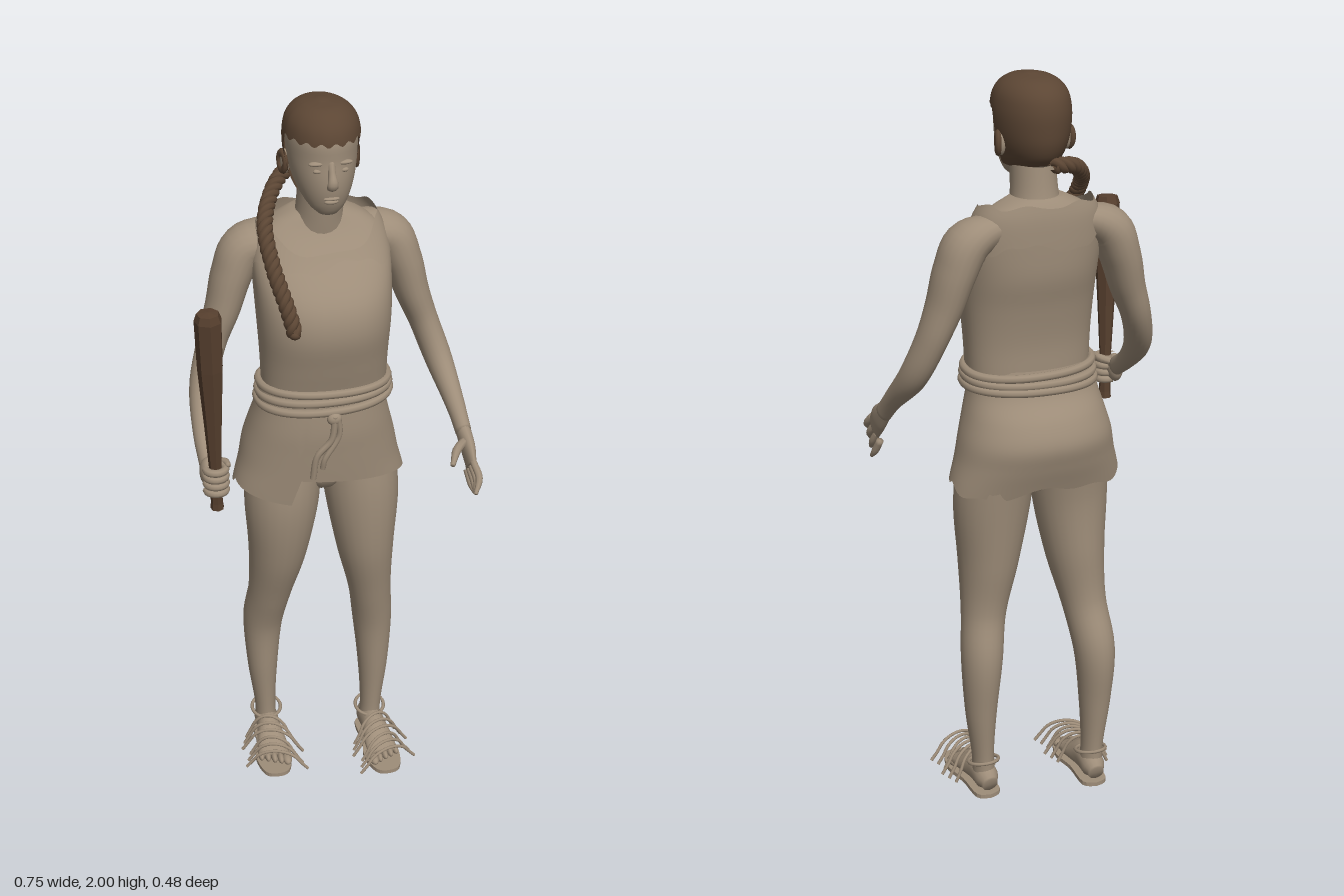
import * as THREE from 'three';

const V = (x, y, z) => new THREE.Vector3(x, y, z);
const mat = (name, color, side = THREE.FrontSide) => {
  const m = new THREE.MeshStandardMaterial({ color, side });
  m.name = name;
  return m;
};

// Join closed rings of points into one smooth surface
function skinRings(rings, cap = true) {
  const n = rings[0].length, pos = [], idx = [];
  rings.forEach(r => r.forEach(p => pos.push(p.x, p.y, p.z)));
  for (let i = 0; i < rings.length - 1; i++) for (let j = 0; j < n; j++) {
    const a = i * n + j, b = i * n + (j + 1) % n;
    idx.push(a, b, b + n, a, b + n, a + n);
  }
  if (cap) [0, rings.length - 1].forEach((i, end) => {
    const c = rings[i].reduce((s, p) => s.add(p), V(0, 0, 0)).divideScalar(n), k = pos.length / 3;
    pos.push(c.x, c.y, c.z);
    for (let j = 0; j < n; j++) {
      const a = i * n + j, b = i * n + (j + 1) % n;
      end ? idx.push(a, b, k) : idx.push(b, a, k);
    }
  });
  const g = new THREE.BufferGeometry();
  g.setAttribute('position', new THREE.Float32BufferAttribute(pos, 3));
  g.setIndex(idx);
  g.computeVertexNormals();
  return g;
}

// Smooth section at height y from rows of [y, z, halfWidth, front, back]
function section(rows, y) {
  let i = 0;
  const last = rows.length - 1;
  while (i < last - 1 && y > rows[i + 1][0]) i++;
  const a = rows[i], b = rows[i + 1], h = b[0] - a[0];
  const t = THREE.MathUtils.clamp((y - a[0]) / h, 0, 1);
  const slope = (k, c) => {
    const p = rows[Math.max(k - 1, 0)], q = rows[Math.min(k + 1, last)];
    return (q[c] - p[c]) / (q[0] - p[0]) * h;
  };
  return [1, 2, 3, 4].map(c => {
    const m0 = slope(i, c), m1 = slope(i + 1, c), d = b[c] - a[c];
    return a[c] + t * (m0 + t * (3 * d - 2 * m0 - m1 + t * (m0 + m1 - 2 * d)));
  });
}
function sectionPoint(rows, y, a, e = 1, grow = 0) {
  const [z, w, f, b] = section(rows, y), s = Math.sin(a), c = Math.cos(a);
  return V(Math.sign(s) * Math.abs(s) ** e * (w + grow), y,
    z + Math.sign(c) * Math.abs(c) ** e * ((c > 0 ? f : b) + grow));
}
// Upright loft whose lower and upper edges may vary with the angle
function loft(rows, { e = 1, n = 48, steps = 28, grow = 0, cap = true, bottom, top, dome = false } = {}) {
  const rings = [];
  for (let i = 0; i <= steps; i++) {
    const t = dome ? Math.sin(i / steps * Math.PI / 2) : i / steps, ring = [];
    for (let j = 0; j < n; j++) {
      let a = j / n * Math.PI * 2;
      if (a > Math.PI) a -= Math.PI * 2;
      const y0 = bottom ? bottom(a) : rows[0][0], y1 = top ? top(a) : rows[rows.length - 1][0];
      ring.push(sectionPoint(rows, y0 + (y1 - y0) * t, a, e, grow));
    }
    rings.push(ring);
  }
  return skinRings(rings, cap);
}
// Tapered limb through rows of [x, y, z, sideRadius, depthRadius]
function limb(rows, n = 16, steps = 24) {
  const path = new THREE.CatmullRomCurve3(rows.map(r => V(r[0], r[1], r[2])));
  const radii = new THREE.SplineCurve(rows.map(r => new THREE.Vector2(r[3], r[4])));
  const rings = [];
  for (let i = 0; i <= steps; i++) {
    const u = i / steps, p = path.getPoint(u), t = path.getTangent(u), r = radii.getPoint(u);
    const side = V(1, 0, 0).addScaledVector(t, -t.x).normalize(), depth = side.clone().cross(t);
    rings.push(Array.from({ length: n }, (_, j) => {
      const a = j / n * Math.PI * 2;
      return p.clone().addScaledVector(side, Math.sin(a) * r.x).addScaledVector(depth, Math.cos(a) * r.y);
    }));
  }
  return skinRings(rings);
}
const finger = (pts, r) => limb(pts.map((p, i) => {
  const w = i === pts.length - 1 ? r * 0.55 : r;
  return [...p, w, w];
}), 8, 8);
const rope = (pts, r, closed = false, seg = 60) =>
  new THREE.TubeGeometry(new THREE.CatmullRomCurve3(pts, closed), seg, r, 8, closed);
const ball = (x, y, z, a, b, c) => new THREE.SphereGeometry(1, 18, 12).scale(a, b, c).translate(x, y, z);

export function createModel() {
  const model = new THREE.Group();
  const skin = mat('skin', 0x9e8d79), cloth = mat('cloth', 0x9e8d79, THREE.DoubleSide);
  const hair = mat('hair', 0x5c4634), hairCap = mat('hair cap', 0x5c4634, THREE.DoubleSide);
  const wood = mat('wood', 0x563f2e);
  wood.flatShading = true;
  const add = (name, geo, m, parent = model) => {
    const mesh = new THREE.Mesh(geo, m);
    mesh.name = name;
    parent.add(mesh);
    return mesh;
  };

  // Head, neck and face
  const headRows = [
    [1.728, 0, 0.024, 0.022, 0.03], [1.745, -0.01, 0.044, 0.043, 0.07], [1.78, -0.04, 0.066, 0.085, 0.115],
    [1.82, -0.06, 0.08, 0.109, 0.122], [1.87, -0.07, 0.088, 0.115, 0.12], [1.92, -0.07, 0.088, 0.114, 0.118],
    [1.96, -0.07, 0.075, 0.094, 0.1], [1.985, -0.07, 0.043, 0.056, 0.06], [1.993, -0.07, 0.003, 0.003, 0.003]];
  add('head', loft(headRows, { dome: true }), skin);
  add('neck', limb([[0, 1.6, -0.115, 0.085, 0.07], [0, 1.7, -0.095, 0.061, 0.066], [0, 1.82, -0.08, 0.058, 0.064]], 24), skin);
  add('nose', limb([[0, 1.872, 0.036, 0.01, 0.01], [0, 1.845, 0.047, 0.01, 0.012],
    [0, 1.82, 0.059, 0.014, 0.012], [0, 1.809, 0.046, 0.013, 0.01]], 12, 14), skin);
  add('upperLip', ball(0, 1.779, 0.043, 0.021, 0.005, 0.008), skin);
  add('lowerLip', ball(0, 1.77, 0.041, 0.018, 0.006, 0.009), skin);
  for (const s of [-1, 1]) {
    add('eye', ball(s * 0.033, 1.85, 0.034, 0.012, 0.006, 0.008), skin);
    add('brow', ball(s * 0.034, 1.869, 0.032, 0.022, 0.006, 0.011), skin);
    add('ear', ball(s * 0.088, 1.835, -0.09, 0.012, 0.032, 0.02), skin);
    add('earLock', new THREE.TorusGeometry(0.016, 0.008, 8, 18).rotateY(Math.PI / 2 - s * 0.3)
      .scale(1, 1.4, 1).translate(s * 0.095, 1.835, -0.09), hair);
  }

  // Cropped hair with a ragged fringe, and a braid over the shoulder
  const hairline = a => {
    const k = THREE.MathUtils.smoothstep(Math.abs(a), 1.42, 1.75);
    return 1.913 + 0.005 * Math.sin(a * 17) * (1 - k) - 0.148 * k;
  };
  add('hair', loft(headRows, { n: 96, grow: 0.008, bottom: hairline, top: () => 1.993, dome: true, cap: false })
    .translate(0, 0.006, 0), hairCap);
  add('crown', ball(0, 1.985, -0.07, 0.035, 0.015, 0.045), hair);
  const braidPath = new THREE.CatmullRomCurve3([[-0.015, 1.785, -0.17], [-0.07, 1.78, -0.165], [-0.115, 1.75, -0.12],
    [-0.154, 1.69, -0.03], [-0.146, 1.6, 0.04], [-0.125, 1.52, 0.09], [-0.11, 1.455, 0.112]].map(p => V(...p)));
  const braid = new THREE.Group();
  braid.name = 'braid';
  model.add(braid);
  const N = 110, frames = braidPath.computeFrenetFrames(N);
  for (let k = 0; k < 3; k++) {
    const pts = Array.from({ length: N + 1 }, (_, i) => {
      const a = i / N * Math.PI * 2 * 8 + k * Math.PI * 2 / 3;
      return braidPath.getPointAt(i / N).addScaledVector(frames.normals[i], 0.01 * Math.cos(a))
        .addScaledVector(frames.binormals[i], 0.01 * Math.sin(a));
    });
    add('braidStrand', rope(pts, 0.0115, false, 160), hair, braid);
  }
  add('braidTip', ball(-0.11, 1.453, 0.112, 0.016, 0.014, 0.016), hair, braid);

  // Tunic body, ragged cowl and skirt
  const torsoRows = [
    [1.15, -0.055, 0.16, 0.105, 0.1], [1.23, -0.05, 0.165, 0.112, 0.108], [1.32, -0.05, 0.168, 0.135, 0.11],
    [1.42, -0.05, 0.174, 0.156, 0.125], [1.5, -0.06, 0.178, 0.15, 0.133], [1.58, -0.08, 0.18, 0.108, 0.118],
    [1.63, -0.1, 0.168, 0.082, 0.098], [1.67, -0.11, 0.13, 0.062, 0.082], [1.7, -0.11, 0.07, 0.05, 0.06]];
  add('tunic', loft(torsoRows, { e: 0.85 }), cloth);
  const cowlRows = [[1.54, -0.075, 0.184, 0.139, 0.13], [1.6, -0.09, 0.18, 0.106, 0.116],
    [1.66, -0.105, 0.164, 0.083, 0.099], [1.71, -0.11, 0.135, 0.07, 0.085]];
  add('cowl', loft(cowlRows, {
    e: 0.85, n: 72, steps: 10, cap: false,
    bottom: a => 1.585 + 0.012 * Math.sin(a * 5) + 0.005 * Math.sin(a * 13),
    top: a => 1.69 - 0.08 * Math.max(0, Math.cos(a)) ** 2 + 0.006 * Math.sin(a * 7 + 1),
  }), cloth);
  const skirtRows = [
    [0.88, -0.08, 0.246, 0.126, 0.11], [0.94, -0.08, 0.234, 0.133, 0.13], [1.0, -0.08, 0.218, 0.14, 0.15],
    [1.06, -0.08, 0.206, 0.146, 0.162], [1.12, -0.07, 0.19, 0.141, 0.152], [1.18, -0.06, 0.175, 0.13, 0.122],
    [1.25, -0.055, 0.166, 0.12, 0.108]];
  const hem = a => {
    if (Math.abs(a) > 1.57) return 0.94 - 0.025 * Math.sin((Math.abs(a) - 1.57) * 2) + 0.006 * Math.sin(a * 9);
    return a < -0.33 ? THREE.MathUtils.mapLinear(a, -1.57, -0.33, 0.95, 0.903)
      : THREE.MathUtils.mapLinear(a, -0.33, 1.57, 0.985, 0.935);
  };
  add('skirt', loft(skirtRows, { n: 80, bottom: hem, cap: false, e: 0.92 }).translate(-0.008, 0, 0), cloth);
  add('undercloth', ball(0, 0.965, -0.085, 0.085, 0.075, 0.09), cloth);

  // Rope belt with hanging tails
  for (let k = 0; k < 3; k++) {
    const pts = Array.from({ length: 32 }, (_, j) => {
      const a = j / 32 * Math.PI * 2, y = 1.197 + k * 0.022;
      return sectionPoint(skirtRows, y, a, 0.9, 0.004).setY(y + 0.006 * Math.sin(a + k));
    });
    add('beltRope', rope(pts, 0.0115, true, 90), cloth);
  }
  add('beltKnot', ball(0, 1.18, 0.08, 0.02, 0.018, 0.014), cloth);
  add('beltTail', rope([V(0, 1.19, 0.085), V(-0.008, 1.12, 0.082), V(-0.045, 1.07, 0.076), V(-0.055, 1.0, 0.068)], 0.009), cloth);
  add('beltTail', rope([V(0.01, 1.18, 0.085), V(0.012, 1.13, 0.082), V(-0.025, 1.06, 0.078), V(-0.03, 1.03, 0.072)], 0.008), cloth);

  for (const s of [-1, 1]) {
    const side = s > 0 ? 'left' : 'right';
    // Legs, with the right one set further back
    const back = y => (s > 0 ? 0 : 0.058 * THREE.MathUtils.clamp((0.85 - y) / 0.42, 0, 1));
    add(side + 'Leg', limb([
      [0.1, 1.02, -0.09, 0.1, 0.11], [0.112, 0.87, -0.075, 0.102, 0.107], [0.122, 0.7, -0.07, 0.081, 0.093],
      [0.139, 0.55, -0.078, 0.061, 0.068], [0.154, 0.42, -0.102, 0.056, 0.065], [0.158, 0.26, -0.102, 0.043, 0.051],
      [0.153, 0.12, -0.1, 0.03, 0.038], [0.15, 0.04, -0.1, 0.031, 0.038],
    ].map(r => [s * r[0], r[1], r[2] - back(r[1]), r[3], r[4]]), 24, 40), skin);

    // Foot and strapped sandal
    const foot = new THREE.Group();
    foot.name = side + 'Foot';
    foot.position.set(s * 0.15, 0, -0.1 - back(0));
    foot.rotation.y = s * 0.04;
    model.add(foot);
    add('foot', limb([[0, 0.04, -0.045, 0.022, 0.024], [0, 0.05, -0.02, 0.033, 0.038], [0, 0.054, 0.04, 0.034, 0.042],
      [0, 0.038, 0.1, 0.043, 0.027], [0, 0.028, 0.15, 0.044, 0.015]], 16, 16), skin, foot);
    for (let i = 0; i < 5; i++)
      add('toe', ball(s * (i * 0.018 - 0.034), 0.025, 0.17 - i * 0.008, i ? 0.009 : 0.013, 0.012, 0.024), skin, foot);
    const outline = new THREE.Shape(new THREE.SplineCurve([[0, 0.05], [0.035, 0.03], [0.038, -0.06], [0.052, -0.13],
      [0.035, -0.2], [0, -0.215], [-0.035, -0.2], [-0.052, -0.13], [-0.038, -0.06], [-0.035, 0.03], [0, 0.05]]
      .map(p => new THREE.Vector2(...p))).getPoints(40));
    add('sole', new THREE.ExtrudeGeometry(outline, { depth: 0.012, bevelEnabled: false }).rotateX(-Math.PI / 2), skin, foot);
    for (let i = 0; i < 6; i++) {
      const w = 0.056 + (i % 3) * 0.008, h = 0.084 - i * 0.005;
      const arc = Array.from({ length: 9 }, (_, j) => {
        const a = Math.PI * j / 8;
        return V(w * Math.cos(a) * (j % 8 ? 1 : 1.2), 0.018 + h * Math.sin(a), 0.06 + i * 0.027 - 0.02 * Math.cos(a) * s);
      });
      add('sandalStrap', rope(arc, 0.0045, false, 24), skin, foot);
    }
    add('heelStrap', new THREE.TorusGeometry(0.042, 0.005, 6, 28).rotateX(Math.PI / 2 + 0.25).translate(0, 0.095, 0.002), skin, foot);

    // Arms: the left hangs open, the right reaches forward
    const lower = s > 0
      ? [[0.318, 1.25, -0.065, 0.036, 0.042], [0.342, 1.15, 0.035, 0.025, 0.028], [0.35, 1.1, 0.085, 0.021, 0.027]]
      : [[0.322, 1.25, -0.045, 0.036, 0.042], [0.343, 1.16, 0.06, 0.025, 0.028], [0.345, 1.115, 0.13, 0.021, 0.027]];
    add(side + 'Arm', limb([[0.1, 1.63, -0.12, 0.04, 0.06], [0.19, 1.6, -0.125, 0.056, 0.068], [0.225, 1.53, -0.122, 0.053, 0.069],
      [0.252, 1.44, -0.115, 0.046, 0.061], [0.285, 1.35, -0.105, 0.039, 0.05], ...lower]
      .map(r => [s * r[0], ...r.slice(1)]), 20, 40), skin);
  }

  // Open left hand
  add('leftPalm', limb([[0.348, 1.115, 0.07, 0.02, 0.024], [0.353, 1.07, 0.12, 0.018, 0.036], [0.353, 1.035, 0.157, 0.012, 0.036]]), skin);
  for (let i = 0; i < 4; i++)
    add('leftFinger', finger([[0.352, 1.058 - i * 0.018, 0.172 - i * 0.017], [0.36, 1.025 - i * 0.019, 0.205 - i * 0.021],
      [0.342 + i * 0.008, 0.997 - i * 0.016, 0.237 - i * 0.027]], 0.0098), skin);
  add('leftThumb', finger([[0.345, 1.09, 0.115], [0.312, 1.088, 0.155], [0.288, 1.07, 0.2]], 0.012), skin);

  // Right fist gripping the club
  add('rightPalm', ball(-0.347, 1.105, 0.145, 0.022, 0.04, 0.032), skin);
  for (let i = 0; i < 4; i++)
    add('rightFinger', new THREE.TorusGeometry(0.025, 0.0105, 8, 20, Math.PI * 1.6).rotateX(Math.PI / 2).rotateY(1.9)
      .translate(-0.332, 1.069 + i * 0.02, 0.175), skin);
  add('rightThumb', finger([[-0.335, 1.125, 0.14], [-0.305, 1.135, 0.155], [-0.3, 1.14, 0.185]], 0.011), skin);
  const club = add('club', new THREE.LatheGeometry([[0, 0], [0.018, 0.002], [0.016, 0.02], [0.016, 0.12], [0.024, 0.27],
    [0.033, 0.42], [0.035, 0.555], [0.028, 0.575], [0, 0.578]].map(p => new THREE.Vector2(...p)), 7), wood);
  club.position.set(-0.33, 1.008, 0.17);
  club.rotation.set(0.06, 0, 0.024);

  return model;
}
